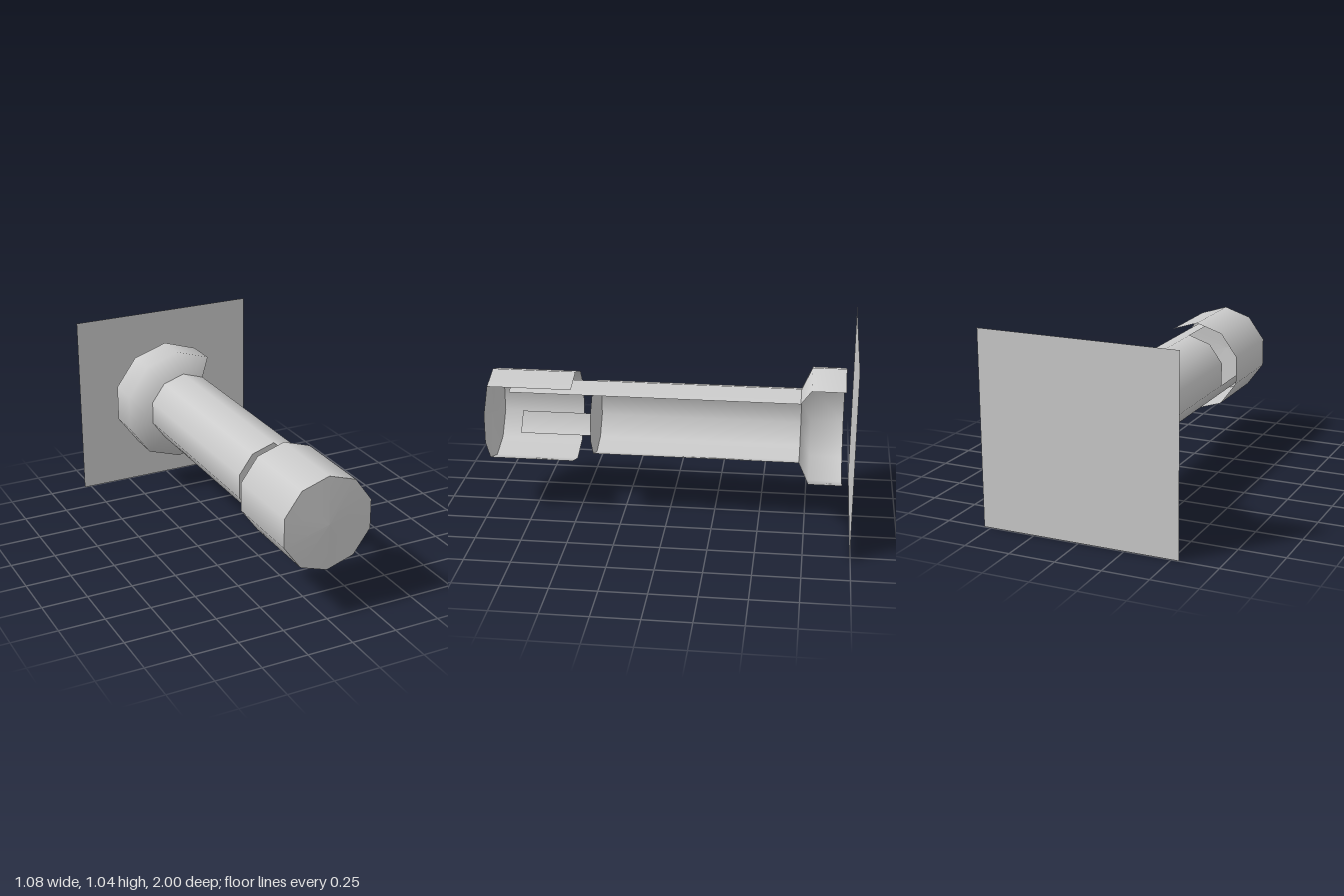
import * as THREE from 'three';

const material = new THREE.MeshStandardMaterial({ color: 0xcccccc, side: THREE.DoubleSide });
const STEP = Math.PI / 5; // ten-sided rings
const AXIS_Y = 0.53;

// Lathe around the z axis; profile is [radius, z], sides counted in 36 degree steps from the bottom
function ring(name, profile, firstSide, sides) {
  const points = profile.map(([r, z]) => new THREE.Vector2(r, z));
  const geometry = new THREE.LatheGeometry(points, sides, firstSide * STEP, sides * STEP);
  geometry.rotateX(Math.PI / 2).translate(0, AXIS_Y, 0);
  const mesh = new THREE.Mesh(geometry, material);
  mesh.name = name;
  return mesh;
}

export function createModel() {
  const model = new THREE.Group();
  model.name = 'peephole';

  // Back plate
  const plate = new THREE.Mesh(new THREE.PlaneGeometry(1.08, 1.045), material);
  plate.name = 'backPlate';
  plate.position.set(0, 0.5225, -0.997);
  model.add(plate);

  // Cut-away walls cover seven of ten sides, open towards +x
  const flare = ring('flare', [[0.33, -0.947], [0.33, -0.765], [0.21, -0.71]], 4, 7);
  const p = flare.geometry.attributes.position;
  for (let i = 0; i < p.count; i++) if (p.getZ(i) < -0.75) p.setX(i, p.getX(i) - 0.01);
  flare.geometry.computeBoundingSphere();
  model.add(flare);
  model.add(ring('shaft', [[0.21, -0.71], [0.21, 0.413]], 4, 7));
  model.add(ring('shaftEnd', [[0.21, 0.413], [0, 0.413]], 0, 10));

  // Prongs reaching from the shaft into the cap
  [4, 8].forEach((side, i) =>
    model.add(ring(`prong${i + 1}`, [[0.21, 0.413], [0.21, 0.87]], side, 1)));

  // Cap wall and its slightly domed front
  model.add(ring('capWall', [[0.257, 0.523], [0.257, 0.983]], 4, 7));
  model.add(ring('capFront', [[0.257, 0.983], [0, 0.998]], 0, 10));
  return model;
}
